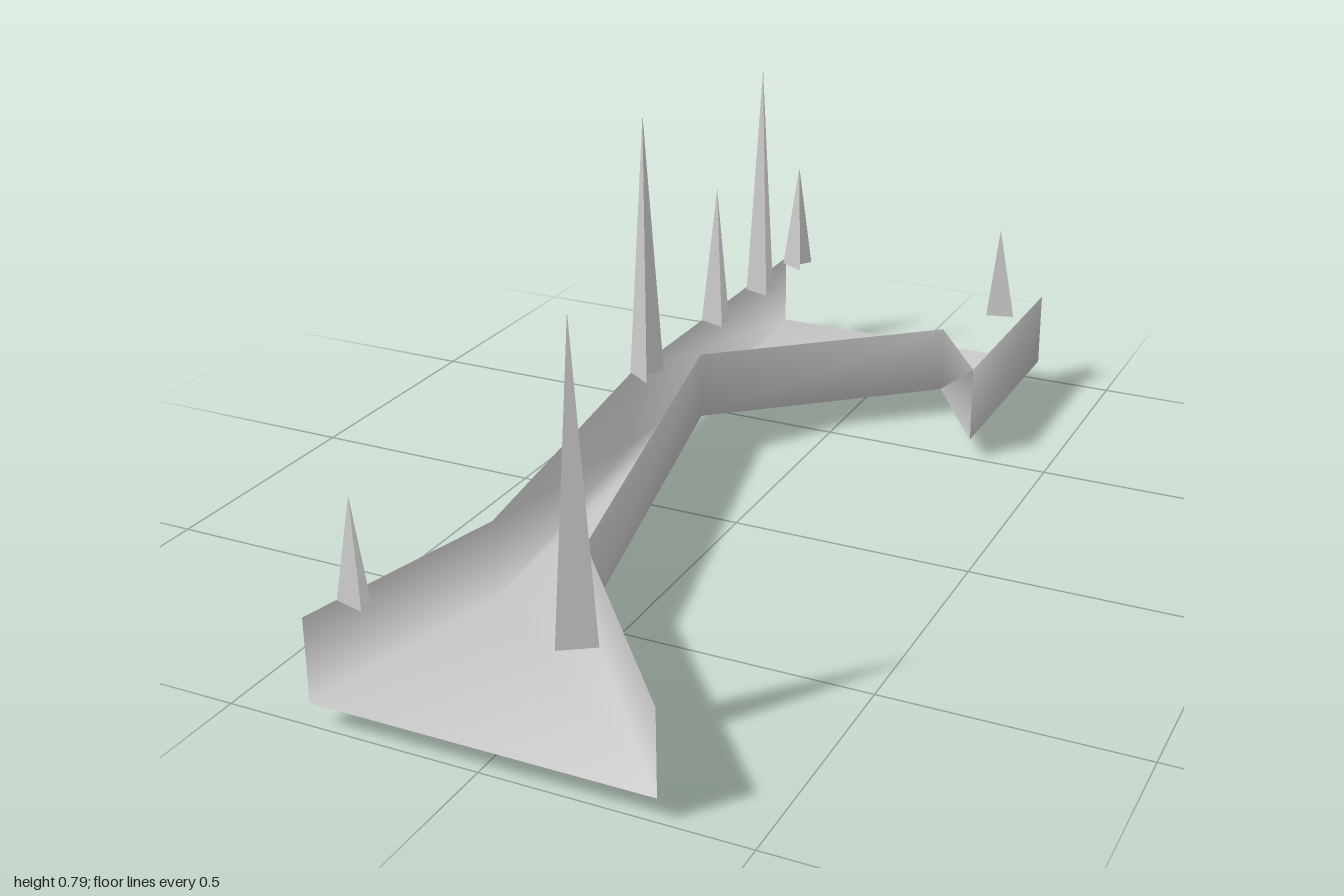
import * as THREE from 'three';

const smooth = new THREE.MeshStandardMaterial({ color: 0xcccccc, side: THREE.DoubleSide });
const faceted = new THREE.MeshStandardMaterial({ color: 0xcccccc, side: THREE.DoubleSide, flatShading: true });
const RIM = 0.21;

function indexed(positions, index) {
  const g = new THREE.BufferGeometry();
  g.setAttribute('position', new THREE.Float32BufferAttribute(positions, 3));
  g.setIndex(index);
  g.computeVertexNormals();
  return g;
}

// Floor outline [x, floor height, z], anticlockwise from above
const outline = [
  [-0.33, 0.045, 1], [0.33, 0.045, 1], [-0.03, 0.063, 0.57], [-0.24, 0.063, -0.33],
  [0.19, 0.063, -0.7], [0.33, 0.045, -0.5], [0.33, 0.045, -1], [-0.33, 0.045, -1],
  [-0.33, 0.045, -0.17], [-0.23, 0.052, 0.56],
];

// Open channel: floor and thin side walls share vertices; both ends stay open
function channel() {
  const n = outline.length;
  const contour = outline.map(([x, , z]) => new THREE.Vector2(x, -z));
  const index = THREE.ShapeUtils.triangulateShape(contour, []).flat();
  const tops = outline.map(([x, , z]) => [x, RIM, z]);
  for (let a = 0; a < n; a++) {
    const b = (a + 1) % n;
    if (outline[a][2] === outline[b][2]) continue;
    index.push(a, b + n, b, a, a + n, b + n);
  }
  return new THREE.Mesh(indexed([...outline, ...tops].flat(), index), smooth);
}

// Spike with a dart-shaped base; dir is the x direction the dart points
function spike(x, z, top, halfZ, dir) {
  const base = [[0.04, 0], [-0.02, -halfZ], [0.004, 0], [-0.02, halfZ]];
  const p = base.map(([dx, dz]) => [x + dir * dx, RIM, z + dz]);
  p.push([x, top, z]);
  const index = [];
  for (let i = 0; i < 4; i++) {
    const j = (i + 1) % 4;
    if (dir > 0) index.push(j, i, 4);
    else index.push(i, j, 4);
  }
  return new THREE.Mesh(indexed(p.flat(), index), faceted);
}

// Five-sided stub narrowing downwards
function stub(x, z, rTop, rBottom, y0, y1) {
  const m = new THREE.Mesh(new THREE.CylinderGeometry(rTop, rBottom, y1 - y0, 5), faceted);
  m.position.set(x, (y0 + y1) / 2, z);
  m.rotation.y = 0.3;
  return m;
}

export function createModel() {
  const group = new THREE.Group();
  const add = (mesh, name) => {
    mesh.name = name;
    group.add(mesh);
  };

  add(channel(), 'channel');

  // Spikes along the rim level: x, z, tip height, base half depth, direction
  [
    [-0.28, -0.96, 0.46, 0.035, -1],
    [-0.283, -0.75, 0.75, 0.02, -1],
    [-0.29, -0.52, 0.53, 0.02, -1],
    [-0.293, -0.175, 0.785, 0.04, -1],
    [-0.272, 0.927, 0.415, 0.015, -1],
    [0.27, -0.842, 0.415, 0.015, 1],
    [0.125, 0.877, 0.785, 0.04, 1],
  ].forEach((s, i) => add(spike(...s), `spike${i + 1}`));

  // Stubs under the floor
  add(stub(-0.24, 0.19, 0.052, 0.022, 0, 0.046), 'largeStub');
  add(stub(-0.115, -0.85, 0.032, 0.016, 0.013, 0.049), 'smallStub');

  return group;
}
